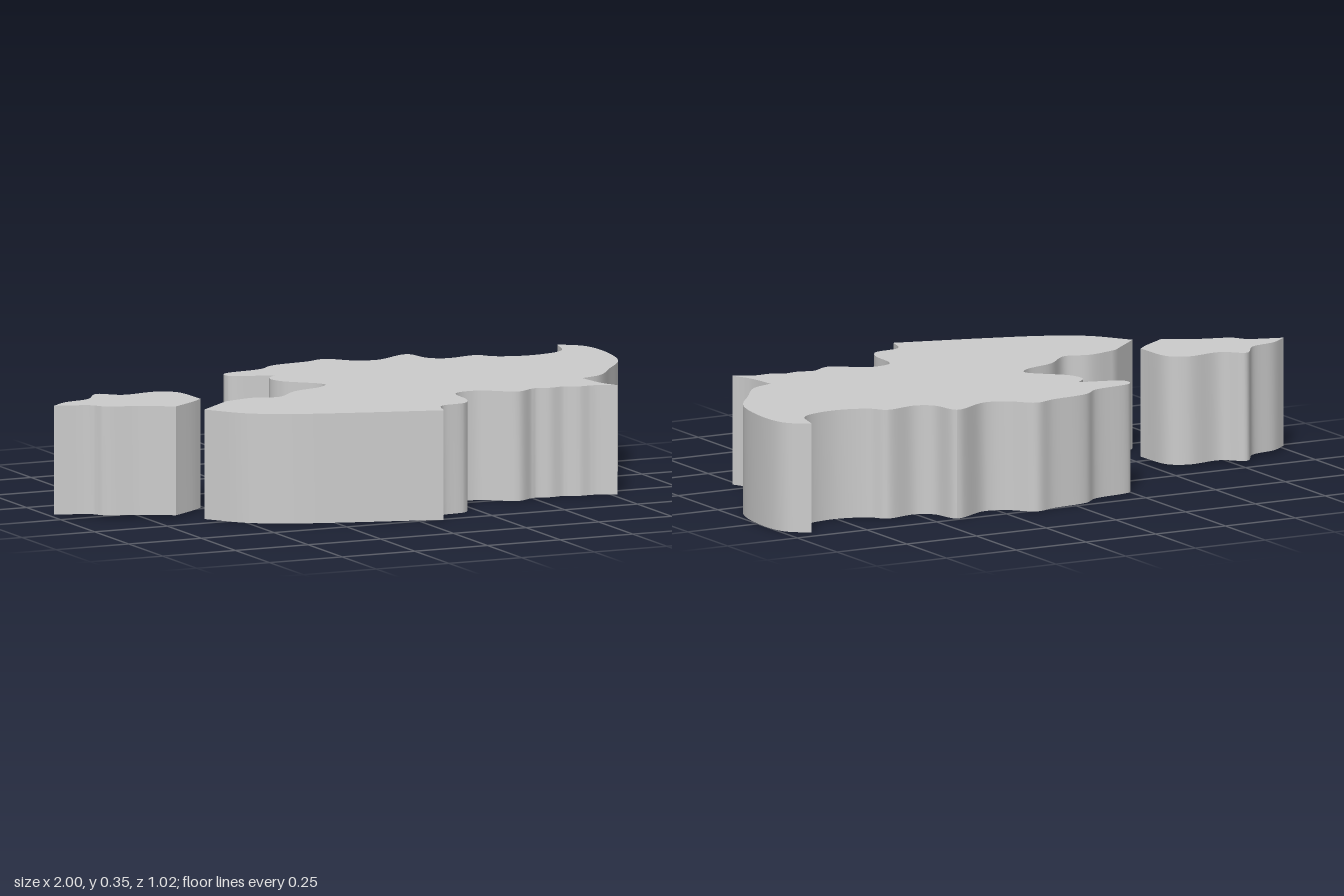
import * as THREE from 'three';
import { toCreasedNormals } from 'three/addons/utils/BufferGeometryUtils.js';

// Closed plan outline from smooth runs of flat [x, z, ...] points; runs meet at sharp corners.
function outline(runs) {
  const pts = [];
  runs.forEach((run, i) => {
    const knots = [];
    for (let k = 0; k < run.length; k += 2) knots.push(new THREE.Vector3(run[k], -run[k + 1], 0));
    const next = runs[(i + 1) % runs.length];
    knots.push(new THREE.Vector3(next[0], -next[1], 0));
    const curve = new THREE.CatmullRomCurve3(knots, false, 'centripetal');
    const n = (knots.length - 1) * 7;
    for (let k = 0; k < n; k++) {
      const p = curve.getPoint(k / n);
      pts.push(new THREE.Vector2(p.x, p.y));
    }
  });
  return new THREE.Shape(pts);
}

// Upright slab with the given plan
function slab(name, runs, bottom, height) {
  const geo = new THREE.ExtrudeGeometry(outline(runs), { depth: height, bevelEnabled: false });
  geo.rotateX(-Math.PI / 2);
  geo.translate(0, bottom, 0);
  const mesh = new THREE.Mesh(
    toCreasedNormals(geo, Math.PI / 5),
    new THREE.MeshStandardMaterial({ color: 0xcccccc })
  );
  mesh.name = name;
  return mesh;
}

export function createModel() {
  const group = new THREE.Group();
  group.name = 'islandSlabs';

  group.add(slab('mainIsland', [
    // left tip
    [-0.59, 0.18],
    // north-west shore up to the inlet
    [-0.465, 0.07, -0.36, 0.045, -0.28, 0.065, -0.19, -0.01, -0.08, -0.05, -0.05, -0.09,
      -0.15, -0.2, -0.16, -0.26],
    // back lobe and scalloped back shore
    [-0.12, -0.305, -0.255, -0.355, -0.25, -0.4, -0.11, -0.43, -0.05, -0.475, 0.08, -0.495,
      0.15, -0.515, 0.22, -0.45, 0.29, -0.43, 0.42, -0.487, 0.45, -0.395, 0.5, -0.365,
      0.61, -0.38, 0.65, -0.335, 0.76, -0.305, 0.88, -0.34],
    // right horn and right shore
    [0.92, -0.45, 0.98, -0.4, 1, -0.32, 0.97, -0.11, 0.88, 0.02, 0.8, 0.12],
    // front right spur
    [0.725, 0.15, 0.74, 0.25],
    // front shore and bay
    [0.768, 0.315, 0.7, 0.285, 0.65, 0.285, 0.61, 0.265, 0.56, 0.27, 0.51, 0.257,
      0.44, 0.29, 0.33, 0.22, 0.25, 0.235, 0.23, 0.36, 0.2, 0.41, 0.11, 0.43],
    // front left shore
    [0.08, 0.508, -0.2, 0.43, -0.38, 0.37, -0.5, 0.3],
  ], 0, 0.346));

  group.add(slab('smallIsland', [
    // back shore
    [-1, -0.05, -0.94, -0.095, -0.85, -0.12, -0.785, -0.195, -0.72, -0.145, -0.6, -0.155,
      -0.545, -0.12],
    // front shore
    [-0.53, 0.025, -0.57, 0.06],
    [-0.66, 0.122, -0.76, 0.065, -0.86, 0.03, -0.89, -0.01],
  ], 0.008, 0.344));
  return group;
}
